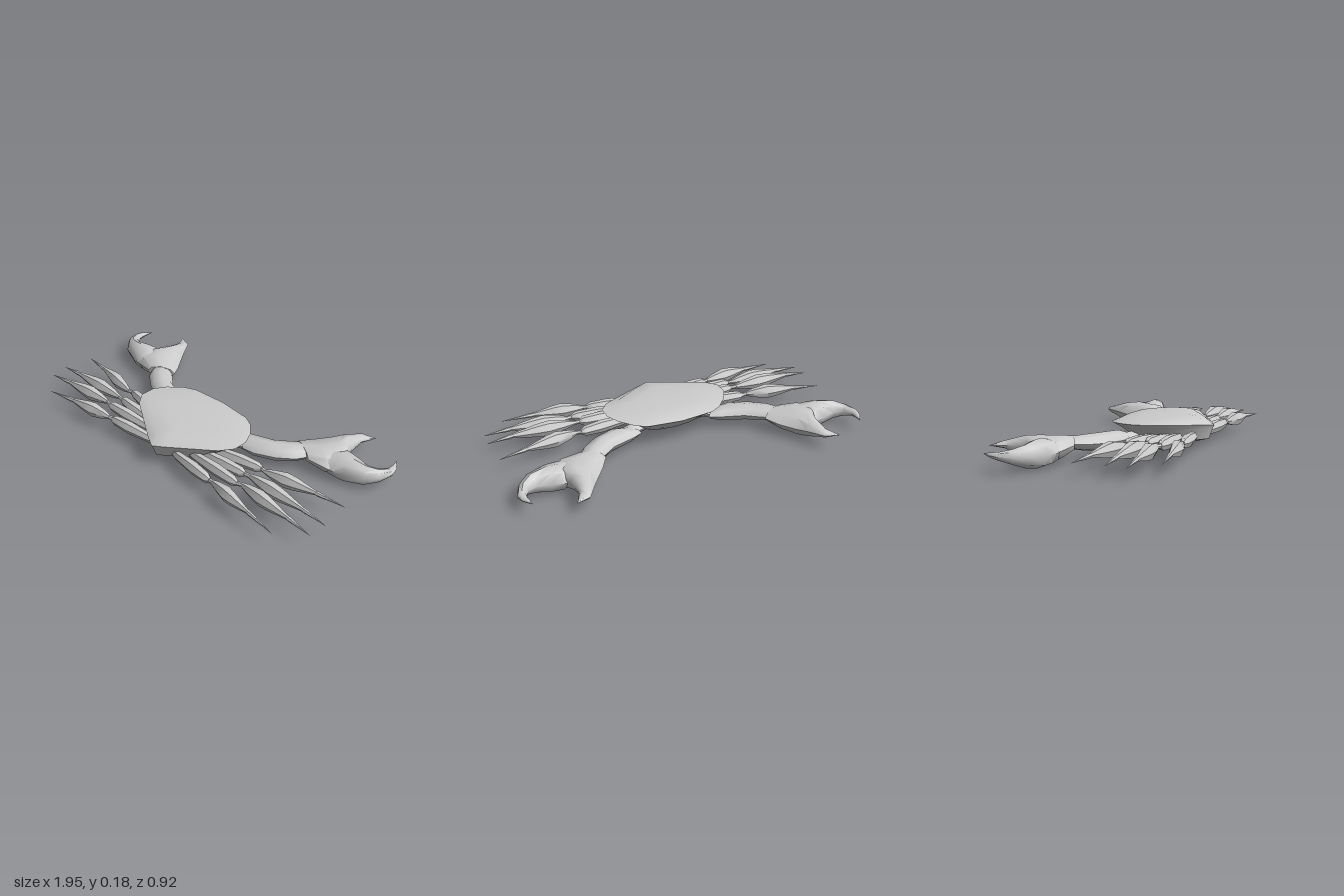
import * as THREE from 'three';
import { toCreasedNormals } from 'three/addons/utils/BufferGeometryUtils.js';

const material = new THREE.MeshStandardMaterial({ color: 0xcccccc });

// Closed skin over a list of equal rings of points, turned to face outwards.
function skin(name, rings, crease) {
  const n = rings[0].length;
  const points = rings.flat();
  const faces = [];
  for (let r = 0; r < rings.length - 1; r++) {
    for (let i = 0; i < n; i++) {
      const j = (i + 1) % n;
      const a = r * n + i, b = r * n + j;
      faces.push([a, b, b + n], [a, b + n, a + n]);
    }
  }
  const last = (rings.length - 1) * n;
  for (let i = 1; i < n - 1; i++) {
    faces.push([0, i + 1, i], [last, last + i, last + i + 1]);
  }
  let volume = 0;
  const cross = new THREE.Vector3();
  for (const [a, b, c] of faces) {
    volume += points[a].dot(cross.crossVectors(points[b], points[c]));
  }
  if (volume < 0) faces.forEach((f) => f.reverse());
  const geometry = new THREE.BufferGeometry().setFromPoints(points);
  geometry.setIndex(faces.flat());
  const mesh = new THREE.Mesh(toCreasedNormals(geometry, crease), material);
  mesh.name = name;
  return mesh;
}

// Limb part from sections [x1, z1, x2, z2, y, halfHeight]: two edge points seen from above.
function limb(name, side, sections, sides = 8, crease = 0.85) {
  const rings = sections.map(([x1, z1, x2, z2, y, h]) => {
    const ring = [];
    for (let i = 0; i < sides; i++) {
      const a = (i / sides) * Math.PI * 2;
      const c = Math.cos(a) / 2;
      ring.push(new THREE.Vector3(
        side * ((x1 + x2) / 2 + (x2 - x1) * c),
        y + h * Math.sin(a),
        (z1 + z2) / 2 + (z2 - z1) * c));
    }
    return ring;
  });
  return skin(name, rings, crease);
}

// Straight leg segment between [x, y, z] points, with a profile of [t, halfWidth, halfHeight].
function segment(name, side, from, to, profile) {
  const mix = (i, t) => from[i] + (to[i] - from[i]) * t;
  return limb(name, side, profile.map(([t, w, h]) => {
    const x = mix(0, t), z = mix(2, t);
    return [x, z - w, x, z + w, mix(1, t), h];
  }), 6);
}

// Shell and belly: one outline, scaled into layers
function buildBody() {
  const half = [[0.19, -0.052], [0.25, -0.02], [0.315, 0.05], [0.35, 0.12],
    [0.35, 0.2], [0.3, 0.265], [0.06, 0.415]];
  const outline = [[0, -0.07], ...half, [0, 0.445],
    ...half.slice().reverse().map(([x, z]) => [-x, z])];
  const rimHeight = (x, z) => {
    const end = z > 0.18 ? 0.035 * ((z - 0.18) / 0.265) ** 2 : 0.015 * ((0.18 - z) / 0.25) ** 2;
    return 0.165 - end;
  };
  const layer = (sx, sz, cz, y, rim) => outline.map(([x, z]) => new THREE.Vector3(
    x * sx, y + (rimHeight(x, z) - y) * rim, cz + (z - 0.18) * sz));
  return skin('body', [
    layer(0.01, 0.01, 0.18, 0.181, 0),
    layer(0.45, 0.45, 0.18, 0.179, 0),
    layer(0.8, 0.82, 0.18, 0.176, 0.2),
    layer(1, 1, 0.18, 0.165, 1),
    layer(0.8, 0.92, 0.195, 0.118, 0.15),
    layer(0.55, 0.74, 0.22, 0.058, 0),
    layer(0.3, 0.45, 0.22, 0.038, 0),
    layer(0.01, 0.01, 0.22, 0.035, 0),
  ], 0.6);
}

// Pincer arm: hip, arm, palm with fixed finger, moving finger
function buildClaw(side) {
  const group = new THREE.Group();
  group.name = side > 0 ? 'leftClaw' : 'rightClaw';
  group.add(
    limb('clawHip', side, [
      [0.055, 0.1, 0.065, 0.12, 0.083, 0.008],
      [0.08, 0.08, 0.1, 0.135, 0.083, 0.022],
      [0.19, 0.045, 0.22, 0.115, 0.083, 0.028],
      [0.26, 0.02, 0.3, 0.08, 0.085, 0.025],
    ]),
    limb('clawArm', side, [
      [0.2, 0.01, 0.3, 0.09, 0.085, 0.025],
      [0.25, -0.015, 0.37, 0.08, 0.085, 0.043],
      [0.385, -0.06, 0.475, 0.03, 0.085, 0.046],
      [0.45, -0.115, 0.555, -0.03, 0.088, 0.04],
      [0.49, -0.145, 0.59, -0.085, 0.09, 0.033],
    ]),
    limb('palm', side, [
      [0.465, -0.145, 0.605, -0.07, 0.09, 0.035],
      [0.51, -0.215, 0.72, -0.09, 0.078, 0.06],
      [0.565, -0.29, 0.76, -0.18, 0.075, 0.066],
      [0.605, -0.35, 0.705, -0.275, 0.08, 0.052],
      [0.632, -0.395, 0.7, -0.33, 0.083, 0.035],
      [0.66, -0.44, 0.698, -0.385, 0.085, 0.019],
      [0.734, -0.464, 0.735, -0.463, 0.086, 0.001],
    ]),
    limb('movingFinger', side, [
      [0.69, -0.255, 0.66, -0.085, 0.076, 0.05],
      [0.725, -0.262, 0.74, -0.098, 0.073, 0.068],
      [0.785, -0.248, 0.79, -0.11, 0.073, 0.07],
      [0.855, -0.232, 0.89, -0.15, 0.075, 0.055],
      [0.9, -0.25, 0.947, -0.21, 0.079, 0.036],
      [0.928, -0.292, 0.973, -0.282, 0.083, 0.02],
      [0.93, -0.325, 0.962, -0.328, 0.085, 0.013],
      [0.924, -0.38, 0.926, -0.38, 0.086, 0.001],
    ]),
  );
  return group;
}

// Walking leg joints as [x, y, z]: root, knee, ankle start, ankle end, tip
const LEGS = [
  [[0.17, 0.08, 0.2], [0.49, 0.09, 0.15], [0.515, 0.09, 0.155], [0.8, 0.09, 0.105], [0.955, 0.08, 0.08]],
  [[0.14, 0.08, 0.26], [0.465, 0.098, 0.247], [0.495, 0.1, 0.243], [0.84, 0.1, 0.25], [0.975, 0.085, 0.25]],
  [[0.11, 0.08, 0.3], [0.485, 0.093, 0.322], [0.51, 0.095, 0.315], [0.82, 0.093, 0.338], [0.965, 0.08, 0.347]],
  [[0.06, 0.08, 0.36], [0.37, 0.09, 0.397], [0.39, 0.092, 0.4], [0.66, 0.092, 0.437], [0.835, 0.08, 0.46]],
];

function buildLeg(side, [root, knee, ankle, foot, tip], index) {
  const group = new THREE.Group();
  group.name = `${side > 0 ? 'left' : 'right'}Leg${index + 1}`;
  group.add(
    segment('upperLeg', side, root, knee,
      [[0, 0.01, 0.012], [0.15, 0.022, 0.026], [0.6, 0.031, 0.035], [0.92, 0.025, 0.028], [1, 0.012, 0.014]]),
    segment('kneeJoint', side, knee, ankle,
      [[-0.4, 0.009, 0.01], [0.5, 0.011, 0.012], [1.4, 0.009, 0.01]]),
    segment('lowerLeg', side, ankle, foot,
      [[0, 0.011, 0.012], [0.15, 0.022, 0.027], [0.42, 0.035, 0.042], [0.6, 0.03, 0.036], [1, 0.01, 0.012]]),
    segment('legTip', side, foot, tip,
      [[-0.04, 0.01, 0.011], [0.1, 0.012, 0.013], [0.5, 0.006, 0.007], [1, 0.001, 0.001]]),
  );
  return group;
}

export function createModel() {
  const crab = new THREE.Group();
  crab.name = 'crab';
  crab.add(buildBody());
  for (const side of [1, -1]) {
    crab.add(buildClaw(side));
    LEGS.forEach((leg, i) => crab.add(buildLeg(side, leg, i)));
  }
  return crab;
}
